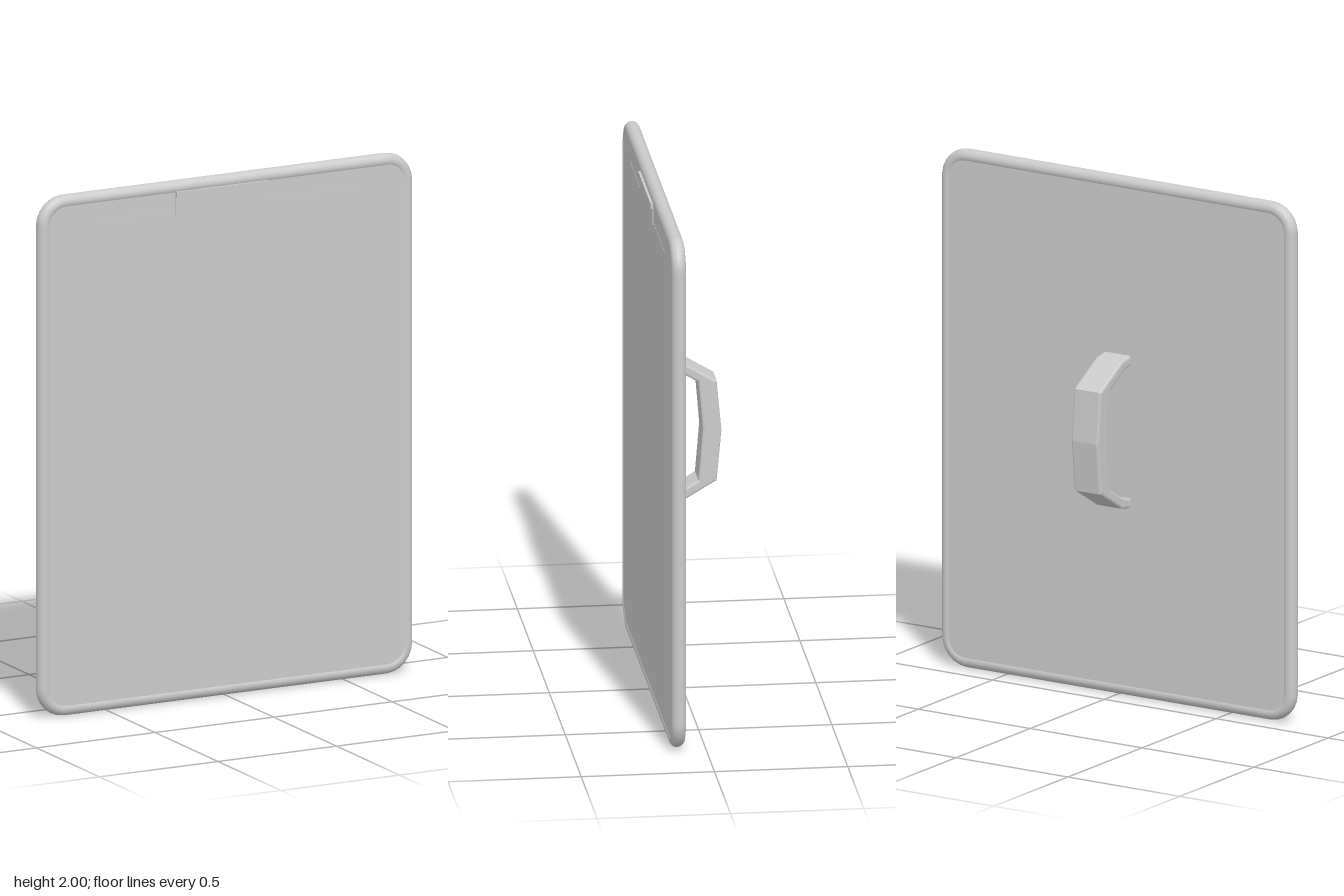
import * as THREE from 'three';

const Z = 0.106;        // mid-plane of the shield
const RIM = 0.0275;     // rim tube radius
const HALF = 0.024;     // half thickness of the panel

// Rounded rectangle centred on (0, 1)
function roundedRect(hw, hh, r) {
  const s = new THREE.Shape();
  const b = 1 - hh, t = 1 + hh;
  s.moveTo(-hw + r, b);
  s.lineTo(hw - r, b);
  s.absarc(hw - r, b + r, r, -Math.PI / 2, 0, false);
  s.lineTo(hw, t - r);
  s.absarc(hw - r, t - r, r, 0, Math.PI / 2, false);
  s.lineTo(-hw + r, t);
  s.absarc(-hw + r, t - r, r, Math.PI / 2, Math.PI, false);
  s.lineTo(-hw, b + r);
  s.absarc(-hw + r, b + r, r, Math.PI, Math.PI * 1.5, false);
  return s;
}

// Lifts a flat outline to a 3D path at z = Z
class OutlineCurve extends THREE.Curve {
  constructor(shape) {
    super();
    this.shape = shape;
  }
  getPoint(t, target = new THREE.Vector3()) {
    const p = this.shape.getPoint(t);
    return target.set(p.x, p.y, Z);
  }
}

export function createModel() {
  const group = new THREE.Group();
  const grey = new THREE.MeshStandardMaterial({ color: 0xcccccc });
  const pale = new THREE.MeshStandardMaterial({ color: 0xffffff });

  const add = (name, geometry, material = grey) => {
    const mesh = new THREE.Mesh(geometry, material);
    mesh.name = name;
    group.add(mesh);
    return mesh;
  };
  const box = (name, x0, x1, y0, y1, z0, z1, material) =>
    add(name, new THREE.BoxGeometry(x1 - x0, y1 - y0, z1 - z0), material)
      .position.set((x0 + x1) / 2, (y0 + y1) / 2, (z0 + z1) / 2);

  // Flat panel and the round rim along its edge
  const outline = roundedRect(0.79 - RIM, 1 - RIM, 0.085);
  const panel = new THREE.ExtrudeGeometry(outline, { depth: HALF * 2, bevelEnabled: false, curveSegments: 10 });
  panel.translate(0, 0, Z - HALF);
  add('panel', panel);
  add('rim', new THREE.TubeGeometry(new OutlineCurve(outline), 320, RIM, 16, true));

  // Viewing window on the front
  const front = Z + HALF;
  box('window', -0.555, 0.555, 0.18, 1.89, front - 0.005, front + 0.001, pale);

  // Plate over the window's top edge, with a raised lip
  box('topPlate', -0.217, 0.168, 1.875, 1.945, front - 0.005, front + 0.003);
  box('topPlateLip', -0.217, 0.168, 1.94, 1.962, front - 0.005, 0.141);

  // Angular grip on the back: upper half of the profile as [depth, height from grip centre]
  const outer = [[0.09, 0.295], [0.079, 0.294], [0.026, 0.284], [-0.122, 0.196], [-0.14, 0]];
  const inner = [[-0.069, 0], [-0.053, 0.192], [0.037, 0.246], [0.079, 0.256], [0.09, 0.256]];
  const mirror = (pts) => pts.filter((p) => p[1] > 0).reverse().map(([z, y]) => [z, -y]);
  const profile = [...outer, ...mirror(outer), ...mirror(inner), ...inner];
  const gripShape = new THREE.Shape(profile.map(([z, y]) => new THREE.Vector2(-z, y + 1.022)));
  const bevel = 0.008;
  const width = 0.12;
  const grip = new THREE.ExtrudeGeometry(gripShape, {
    depth: width - bevel * 2, bevelEnabled: true, bevelThickness: bevel,
    bevelSize: bevel, bevelOffset: -bevel, bevelSegments: 2,
  });
  grip.translate(0, 0, -(width - bevel * 2) / 2);
  grip.rotateY(Math.PI / 2);
  add('handle', grip).position.x = -0.004;

  return group;
}
